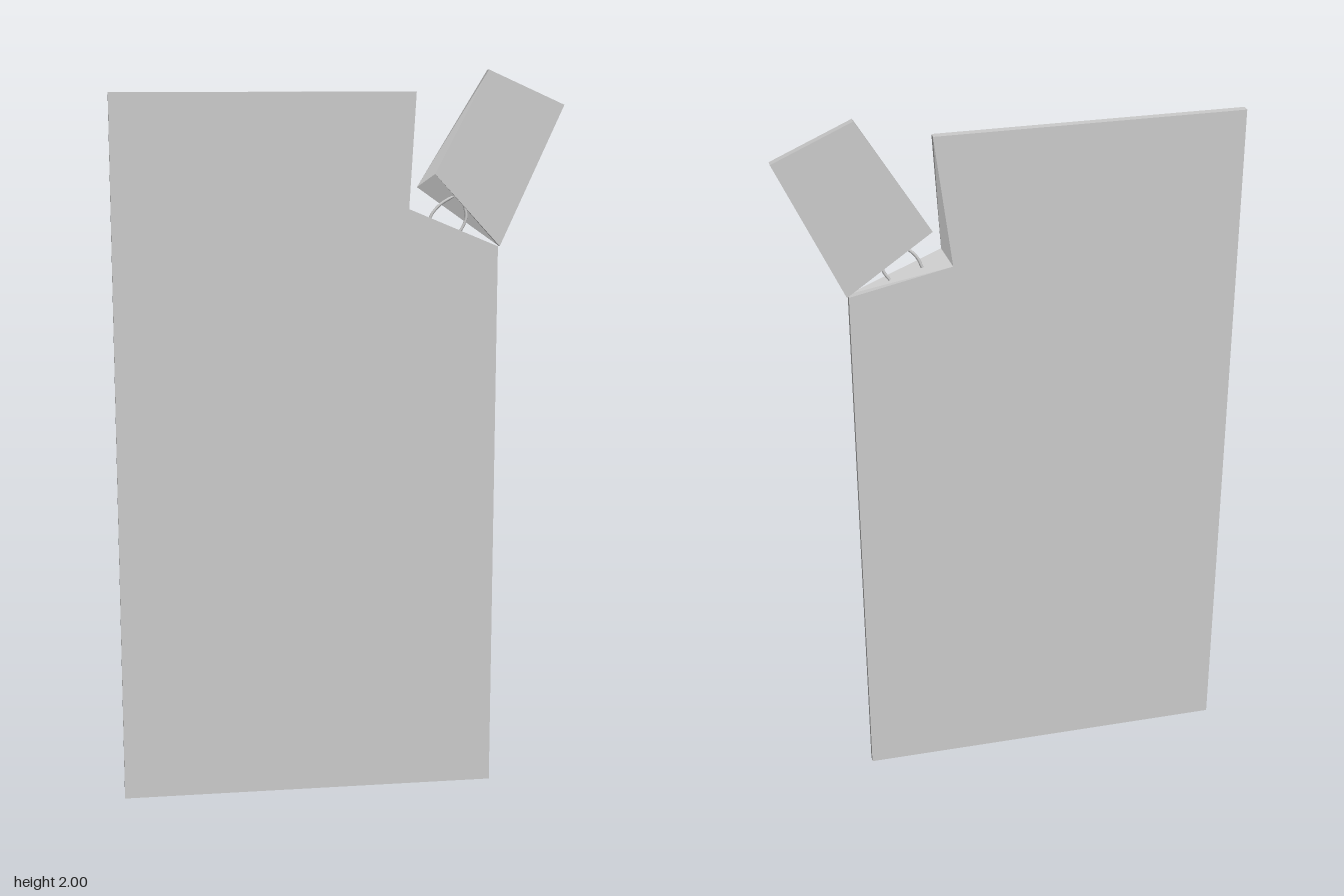
import * as THREE from 'three';

const HALF = 0.01; // half the slab thickness
const grey = new THREE.MeshStandardMaterial({ color: 0xcccccc, flatShading: true });
const barGrey = new THREE.MeshStandardMaterial({ color: 0xcccccc });

// Slab between a front and a back outline, both counter-clockwise seen from +z
function slab(name, front, back) {
  const n = front.length;
  const positions = [
    ...front.flatMap(([x, y]) => [x, y, HALF]),
    ...back.flatMap(([x, y]) => [x, y, -HALF]),
  ];
  const index = [];
  const cap = (outline) =>
    THREE.ShapeUtils.triangulateShape(outline.map(([x, y]) => new THREE.Vector2(x, y)), []);
  for (const [a, b, c] of cap(front)) index.push(a, b, c);
  for (const [a, b, c] of cap(back)) index.push(n + a, n + c, n + b);
  for (let i = 0; i < n; i++) {
    const j = (i + 1) % n;
    index.push(i, n + i, n + j, i, n + j, j);
  }
  const indexed = new THREE.BufferGeometry();
  indexed.setAttribute('position', new THREE.Float32BufferAttribute(positions, 3));
  indexed.setIndex(index);
  const geometry = indexed.toNonIndexed();
  geometry.computeVertexNormals();
  const mesh = new THREE.Mesh(geometry, grey);
  mesh.name = name;
  return mesh;
}

// Thin bent reinforcing bar through a few points
function bar(name, points) {
  const curve = new THREE.CatmullRomCurve3(points.map(([x, y]) => new THREE.Vector3(x, y, 0)));
  const mesh = new THREE.Mesh(new THREE.TubeGeometry(curve, 16, 0.004, 8), barGrey);
  mesh.name = name;
  return mesh;
}

export function createModel() {
  const group = new THREE.Group();
  group.name = 'brokenSlab';

  // Main panel; the notch is cut deeper at the back
  const panel = (notch) => [
    [-0.61, 0], [0.43, 0], [0.43, 1.53], notch, [0.203, 1.943], [-0.61, 1.943],
  ];
  group.add(slab('panel', panel([0.185, 1.633]), panel([0.158, 1.588])));

  // Snapped-off corner tilting outward, with a slanted break face
  const corner = (tip) => [[0.435, 1.53], [0.606, 1.907], [0.398, 2], tip];
  group.add(slab('brokenCorner', corner([0.255, 1.726]), corner([0.209, 1.69])));

  // Bent bars bridging the break
  group.add(bar('innerBar', [[0.237, 1.59], [0.25, 1.62], [0.273, 1.645], [0.312, 1.668]]));
  group.add(bar('outerBar', [[0.322, 1.565], [0.335, 1.585], [0.343, 1.61], [0.336, 1.645]]));

  return group;
}
